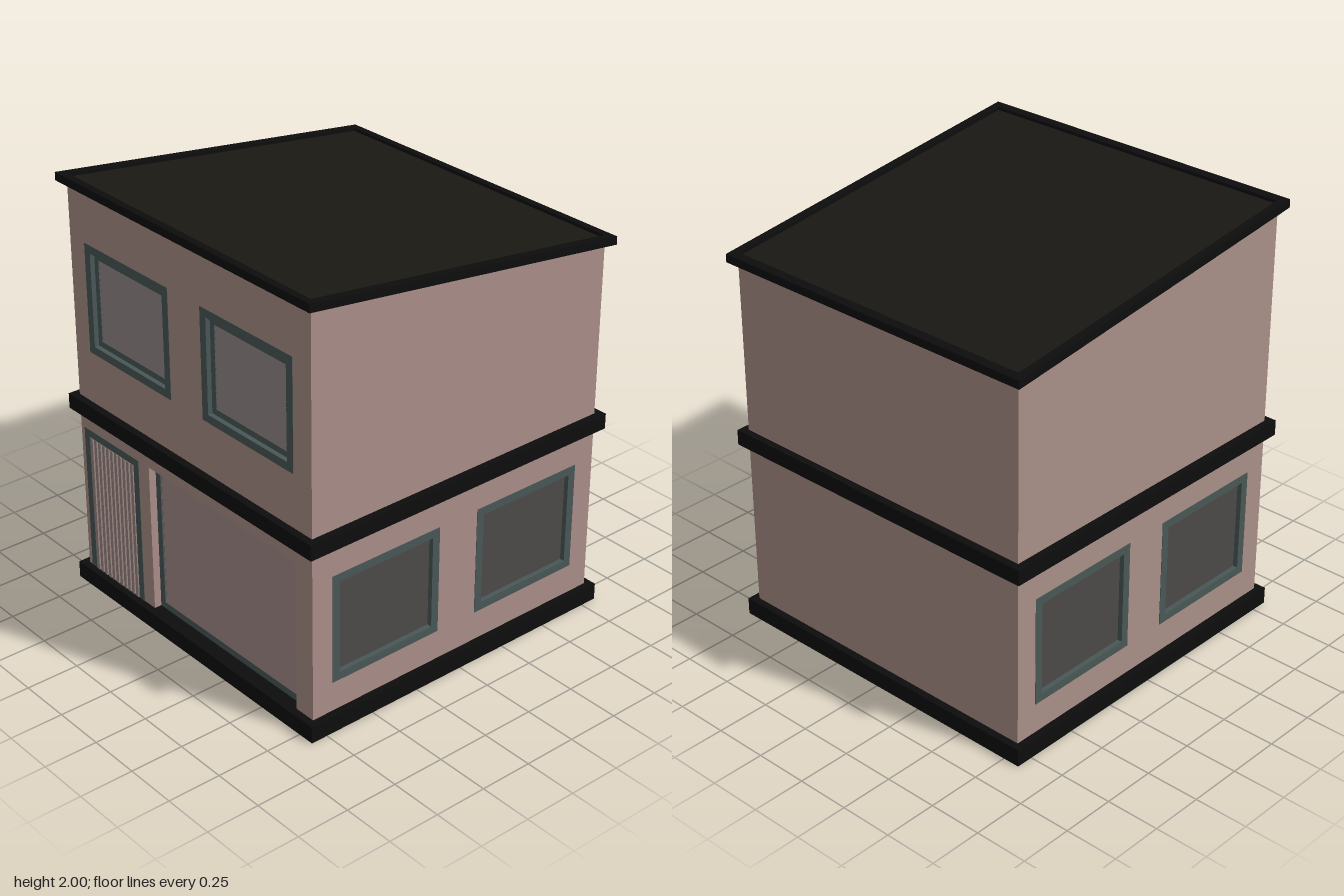
import * as THREE from 'three';

const mat = (color) => new THREE.MeshStandardMaterial({ color });
const M = {
  wall: mat(0xaa8f88), trim: mat(0x0d0d0d), roof: mat(0x191813), frame: mat(0x485856),
  glass: mat(0x4c4a48), louver: mat(0x77706f), slat: mat(0x988480), door: mat(0x8a746f),
};
const HALF = 0.795, EAVE = 0.83, T = 0.045, INNER = HALF - T;
const SLOPE = 0.21 / 1.66;
const roofUnder = (z) => 1.8575 + SLOPE * z;

function add(parent, name, geo, material, x = 0, y = 0, z = 0) {
  const m = new THREE.Mesh(geo, material);
  m.name = name;
  m.position.set(x, y, z);
  parent.add(m);
  return m;
}
const box = (w, h, d) => new THREE.BoxGeometry(w, h, d);

// closed rectangle path from x0,y0 to x1,y1
function rect(PathType, x0, y0, x1, y1) {
  const p = new PathType();
  p.moveTo(x0, y0);
  p.lineTo(x1, y0);
  p.lineTo(x1, y1);
  p.lineTo(x0, y1);
  p.closePath();
  return p;
}
const extrude = (shape, depth) => new THREE.ExtrudeGeometry(shape, { depth, bevelEnabled: false });

// upright frame of border t between z0 and z0 + d
function frame(parent, name, [x0, y0, x1, y1], t, z0, d, bottom = t) {
  const s = rect(THREE.Shape, x0, y0, x1, y1);
  s.holes.push(rect(THREE.Path, x0 + t, y0 + bottom, x1 - t, y1 - t));
  return add(parent, name, extrude(s, d), M.frame, 0, 0, z0);
}

// flat square ring lying on y0
function ring(outer, inner, y0, h) {
  const s = rect(THREE.Shape, -outer, -outer, outer, outer);
  s.holes.push(rect(THREE.Path, -inner, -inner, inner, inner));
  return extrude(s, h).rotateX(-Math.PI / 2).translate(0, y0, 0);
}

// wall panel facing local +z with rectangular openings
function wall(parent, name, points, openings) {
  const s = new THREE.Shape(points.map(([x, y]) => new THREE.Vector2(x, y)));
  openings.forEach((o) => s.holes.push(rect(THREE.Path, ...o)));
  return add(parent, name, extrude(s, T), M.wall, 0, 0, INNER);
}

// upper window with two stepped frames and tilted louvers
function louverWindow(parent, o) {
  const g = new THREE.Group();
  g.name = 'louverWindow';
  parent.add(g);
  const [x0, y0, x1, y1] = o, cx = (x0 + x1) / 2;
  frame(g, 'outerFrame', o, 0.038, INNER - 0.003, T + 0.005);
  frame(g, 'innerFrame', [x0 + 0.038, y0 + 0.038, x1 - 0.038, y1 - 0.038], 0.028, INNER, 0.025);
  add(g, 'windowBack', box(x1 - x0 - 0.1, y1 - y0 - 0.1, 0.006), M.glass, cx, (y0 + y1) / 2, INNER + 0.003);
  const n = 14, lo = y0 + 0.066, pitch = (y1 - y0 - 0.132) / n;
  for (let i = 0; i < n; i++) {
    const l = add(g, 'louver', box(x1 - x0 - 0.13, 0.028, 0.005), M.louver, cx, lo + (i + 0.5) * pitch, INNER + 0.018);
    l.rotation.x = -0.5;
  }
}

// side window with a recessed pane
function paneWindow(parent, o) {
  const g = new THREE.Group();
  g.name = 'paneWindow';
  parent.add(g);
  const [x0, y0, x1, y1] = o;
  frame(g, 'windowFrame', o, 0.038, INNER - 0.003, T + 0.005);
  add(g, 'pane', box(x1 - x0 - 0.07, y1 - y0 - 0.07, 0.008), M.glass, (x0 + x1) / 2, (y0 + y1) / 2, INNER + 0.02);
}

function frontDoor(parent, o) {
  const g = new THREE.Group();
  g.name = 'frontDoor';
  parent.add(g);
  const [x0, y0, x1, y1] = o, t = 0.036, w = x1 - x0 - 2 * t, h = y1 - y0 - t;
  frame(g, 'doorFrame', o, t, INNER - 0.003, T + 0.005, 0.002);
  add(g, 'doorPanel', box(w, h, 0.015), M.door, (x0 + x1) / 2, y0 + h / 2, INNER + 0.015);
  const n = 11, pitch = w / n;
  for (let i = 0; i < n; i++) {
    add(g, 'doorSlat', box(pitch * 0.62, h, 0.028), M.slat, x0 + t + (i + 0.5) * pitch, y0 + h / 2, INNER + 0.035);
  }
}

function garageDoor(parent, o) {
  const g = new THREE.Group();
  g.name = 'garageDoor';
  parent.add(g);
  const [x0, y0, x1, y1] = o, t = 0.032;
  frame(g, 'garageFrame', o, t, INNER - 0.015, 0.025);
  const n = 11, pitch = (y1 - y0 - 2 * t) / n;
  for (let i = 0; i < n; i++) {
    const s = add(g, 'garageSlat', box(x1 - x0 - 2 * t, pitch * 1.06, 0.008), M.slat,
      (x0 + x1) / 2, y0 + t + (i + 0.5) * pitch, INNER - 0.003);
    s.rotation.x = -0.3;
  }
}

export function createModel() {
  const house = new THREE.Group();
  house.name = 'house';

  // front wall with its openings
  const upper = [[-0.69, 1.2, -0.11, 1.715], [0.105, 1.2, 0.685, 1.715]];
  const door = [-0.77, 0.08, -0.37, 0.797];
  const garage = [-0.295, 0.08, 0.69, 0.797];
  const front = new THREE.Group();
  front.name = 'front';
  house.add(front);
  wall(front, 'frontWall', [[-HALF, 0.01], [HALF, 0.01], [HALF, 1.96], [-HALF, 1.96]], [...upper, door, garage]);
  upper.forEach((o) => louverWindow(front, o));
  frontDoor(front, door);
  garageDoor(front, garage);

  // plain back wall
  const back = new THREE.Group();
  back.name = 'back';
  back.rotation.y = Math.PI;
  house.add(back);
  wall(back, 'backWall', [[-HALF, 0.01], [HALF, 0.01], [HALF, 1.765], [-HALF, 1.765]], []);

  // side walls, each with two ground floor windows
  for (const side of [1, -1]) {
    const g = new THREE.Group();
    g.name = side > 0 ? 'leftSide' : 'rightSide';
    g.rotation.y = side * Math.PI / 2;
    house.add(g);
    const windows = [[-0.69, 0.22, -0.107, 0.735], [0.107, 0.22, 0.69, 0.735]];
    const top = (u) => roofUnder(-side * u) + 0.005;
    wall(g, 'sideWall', [[-INNER, 0.01], [INNER, 0.01], [INNER, top(INNER)], [-INNER, top(-INNER)]], windows);
    windows.forEach((o) => paneWindow(g, o));
  }

  // base and floor bands, open in the middle
  add(house, 'baseBand', ring(EAVE, 0.745, 0, 0.08), M.trim);
  add(house, 'floorBand', ring(EAVE, 0.735, 0.88, 0.072), M.trim);

  // sloping roof: raised rim around a slightly lower panel
  const shear = new THREE.Matrix4().set(1, 0, 0, 0, 0, 1, SLOPE, 0, 0, 0, 1, 0, 0, 0, 0, 1);
  add(house, 'roofRim', ring(EAVE, 0.79, 1.8575, 0.0375).applyMatrix4(shear), M.trim);
  add(house, 'roofPanel', box(1.58, 0.022, 1.58).translate(0, 1.8695, 0).applyMatrix4(shear), M.roof);
  return house;
}
